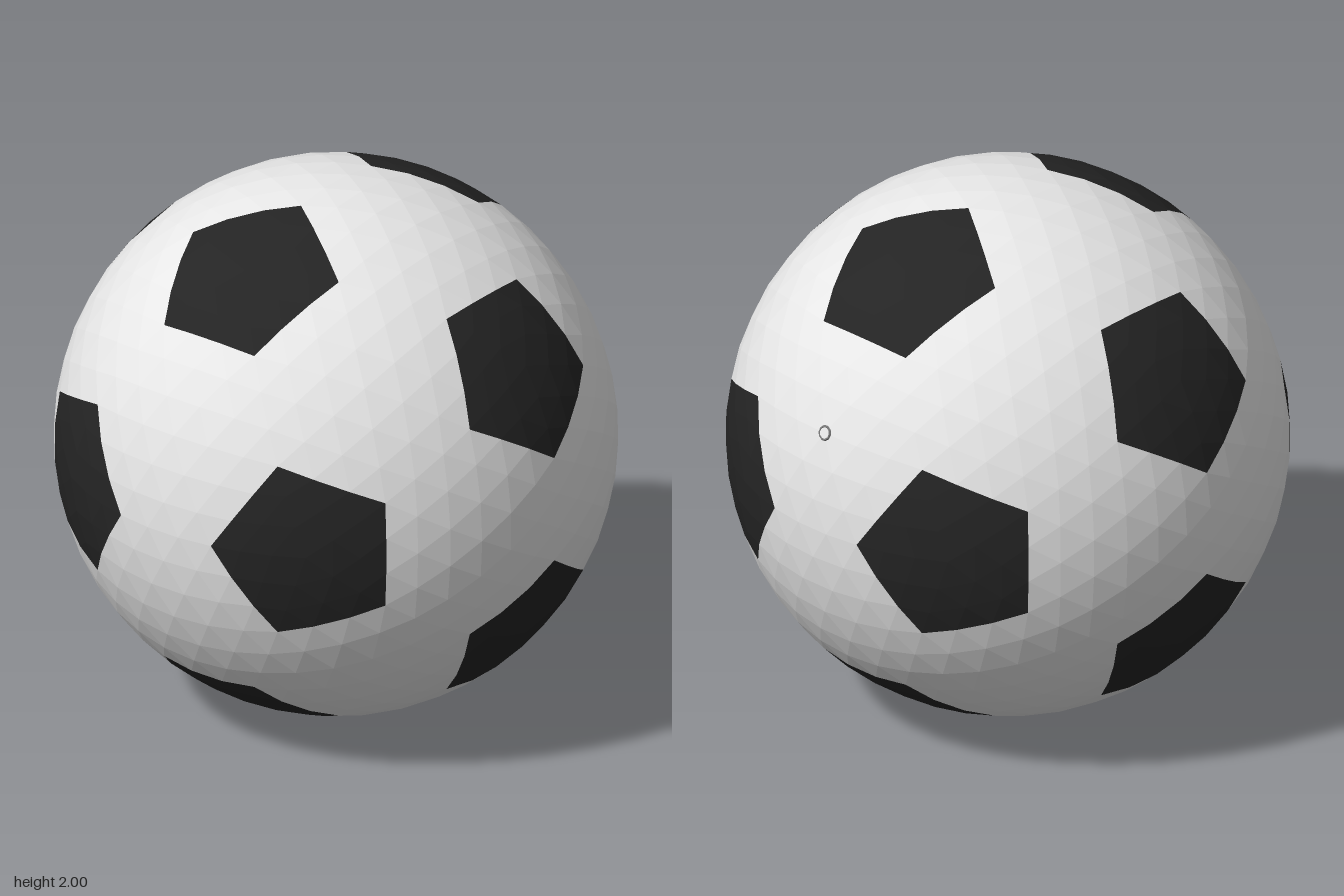
import * as THREE from 'three';

const white = new THREE.MeshStandardMaterial({ color: 0xf0f0f0, flatShading: true });
white.name = 'white leather';
const black = new THREE.MeshStandardMaterial({ color: 0x242424, flatShading: true });
black.name = 'black leather';
const grey = new THREE.MeshStandardMaterial({ color: 0x777777, flatShading: true });
grey.name = 'grey rubber';

const DETAIL = 3; // subdivisions along each panel edge

// Twelve pentagon centres: front and back poles plus two rings of five
function pentagonCentres() {
  const out = [new THREE.Vector3(0, 0, 1), new THREE.Vector3(0, 0, -1)];
  const r = 2 / Math.sqrt(5), h = 1 / Math.sqrt(5);
  for (let i = 0; i < 5; i++) {
    const a = Math.PI + i * Math.PI * 2 / 5;
    const v = new THREE.Vector3(r * Math.cos(a), r * Math.sin(a), h);
    out.push(v, v.clone().negate());
  }
  return out;
}

// Seam corner one third of the way from a to b
const third = (a, b) => a.clone().lerp(b, 1 / 3);

// A panel: fan of subdivided triangles pushed out onto the unit sphere
function panelGeometry(corners) {
  const c = new THREE.Vector3();
  corners.forEach(p => c.addScaledVector(p, 1 / corners.length));
  const pos = [];
  corners.forEach((p, k) => {
    const q = corners[(k + 1) % corners.length];
    const at = (i, j) => c.clone()
      .addScaledVector(p.clone().sub(c), i / DETAIL)
      .addScaledVector(q.clone().sub(c), j / DETAIL).normalize();
    const tri = (...pts) => pts.forEach(v => pos.push(v.x, v.y, v.z));
    for (let i = 0; i < DETAIL; i++) {
      for (let j = 0; i + j < DETAIL; j++) {
        tri(at(i, j), at(i + 1, j), at(i, j + 1));
        if (i + j < DETAIL - 1) tri(at(i + 1, j), at(i + 1, j + 1), at(i, j + 1));
      }
    }
  });
  const g = new THREE.BufferGeometry();
  g.setAttribute('position', new THREE.Float32BufferAttribute(pos, 3));
  g.computeVertexNormals();
  return g;
}

function add(parent, geometry, material, name) {
  const mesh = new THREE.Mesh(geometry, material);
  mesh.name = name;
  parent.add(mesh);
  return mesh;
}

export function createModel() {
  const group = new THREE.Group();
  group.name = 'football';
  const ball = new THREE.Group();
  ball.name = 'ball';
  group.add(ball);
  const centres = pentagonCentres();
  const near = (a, b) => a !== b && a.dot(b) > 0.4;

  // Black pentagons, corners sorted counter-clockwise around each centre
  centres.forEach(c => {
    const around = centres.filter(n => near(c, n));
    const u = around[0].clone().addScaledVector(c, -c.dot(around[0])).normalize();
    const v = c.clone().cross(u);
    const angle = n => Math.atan2(n.dot(v), n.dot(u));
    around.sort((a, b) => angle(a) - angle(b));
    add(ball, panelGeometry(around.map(n => third(c, n))), black, 'pentagonPanel');
  });

  // White hexagons, one for each three mutually neighbouring pentagons
  for (let i = 0; i < 12; i++) for (let j = i + 1; j < 12; j++) for (let k = j + 1; k < 12; k++) {
    let [a, b, d] = [centres[i], centres[j], centres[k]];
    if (!near(a, b) || !near(b, d) || !near(a, d)) continue;
    if (a.clone().cross(b).dot(d) < 0) [b, d] = [d, b];
    const corners = [third(a, b), third(b, a), third(b, d), third(d, b), third(d, a), third(a, d)];
    add(ball, panelGeometry(corners), white, 'hexagonPanel');
  }

  // Air valve in the middle of an upper back hexagon
  const valve = new THREE.Group();
  valve.name = 'valve';
  const dir = new THREE.Vector3(0.491, 0.357, -0.795).normalize();
  valve.position.copy(dir);
  valve.quaternion.setFromUnitVectors(new THREE.Vector3(0, 0, 1), dir);
  add(valve, new THREE.TorusGeometry(0.024, 0.005, 6, 10).translate(0, 0, -0.002), grey, 'valveRim');
  add(valve, new THREE.CircleGeometry(0.022, 10).translate(0, 0, 0.001), white, 'valvePlug');
  ball.add(valve);

  // Rest the ball on the ground
  ball.position.y = -new THREE.Box3().setFromObject(ball).min.y;
  return group;
}
